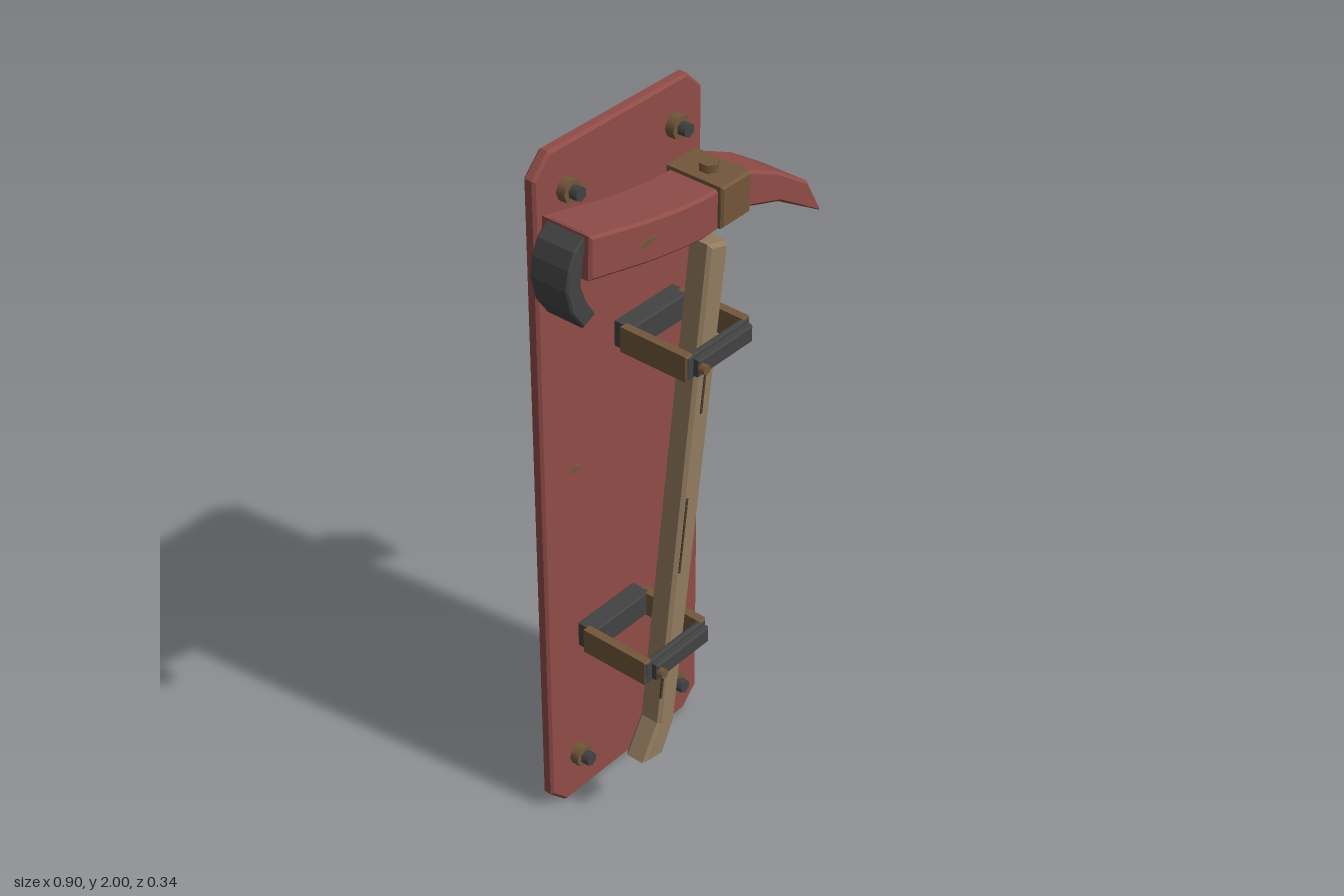
import * as THREE from 'three';

const mat = (name, color) => {
  const m = new THREE.MeshStandardMaterial({ color });
  m.name = name;
  return m;
};

export function createModel() {
  const red = mat('paintedRed', 0x8f4c47);
  const wood = mat('handleWood', 0x927b60);
  const bronze = mat('bronze', 0x73573a);
  const dark = mat('darkIron', 0x434343);
  const groove = mat('grooveBrown', 0x4a3a2a);

  const model = new THREE.Group();
  model.name = 'mountedPick';

  const add = (name, geometry, material, x = 0, y = 0, z = 0, parent = model) => {
    const mesh = new THREE.Mesh(geometry, material);
    mesh.name = name;
    mesh.position.set(x, y, z);
    parent.add(mesh);
    return mesh;
  };

  // Outline in the xy plane, extruded from z0 to z1 with a small inward chamfer
  const slab = (points, z0, z1, bevel) => {
    const shape = new THREE.Shape(points.map(([x, y]) => new THREE.Vector2(x, y)));
    return new THREE.ExtrudeGeometry(shape, {
      depth: z1 - z0 - 2 * bevel, bevelEnabled: true, bevelSegments: 1,
      bevelSize: bevel, bevelThickness: bevel, bevelOffset: -bevel,
    }).translate(0, 0, z0 + bevel);
  };
  const block = (x0, x1, y0, y1, z0, z1, bevel = 0.004) =>
    slab([[x0, y0], [x1, y0], [x1, y1], [x0, y1]], z0, z1, bevel);

  // Hexagonal or round stud along z
  const stud = (radius, length, sides) =>
    new THREE.CylinderGeometry(radius, radius, length, sides).rotateX(Math.PI / 2);

  // Backboard with cut corners
  const [l, r, c] = [-0.28, 0.32, 0.055];
  add('backboard', slab([
    [l + c, 0], [r - c, 0], [r, c], [r, 2 - c], [r - c, 2], [l + c, 2], [l, 2 - c], [l, c],
  ], -0.17, -0.135, 0.007), red);

  // Corner bolts
  for (const x of [-0.175, 0.212]) {
    for (const y of [0.14, 1.885]) {
      const bolt = new THREE.Group();
      bolt.name = 'cornerBolt';
      bolt.position.set(x, y, 0);
      add('boltWasher', stud(0.032, 0.026, 8), bronze, 0, 0, -0.122, bolt);
      add('boltNut', stud(0.019, 0.025, 6), dark, 0, 0, -0.0975, bolt);
      model.add(bolt);
    }
  }

  // Handle with a kicked foot
  add('handle', slab([
    [0.063, 1.71], [-0.12, 0.338], [-0.18, 0.238], [-0.106, 0.224], [-0.058, 0.318], [0.135, 1.69],
  ], 0.036, 0.104, 0.009), wood);
  for (const [x, y, len] of [[0.043, 1.31, 0.13], [-0.03, 0.905, 0.22], [-0.107, 0.49, 0.13]]) {
    const line = add('handleGroove', new THREE.BoxGeometry(0.007, len, 0.004), groove, x, y, 0.104);
    line.rotation.z = -0.134;
  }

  // Pick head, curved on the left and drooping to a point on the right
  add('pickHead', slab([
    [-0.395, 1.963], [-0.4, 1.85], [-0.2, 1.803], [-0.1, 1.785], [0, 1.772], [0.17, 1.782],
    [0.28, 1.745], [0.446, 1.645], [0.39, 1.752], [0.27, 1.832], [0.17, 1.88],
    [0, 1.886], [-0.1, 1.898], [-0.2, 1.916],
  ], -0.01, 0.14, 0.007), red);

  // Curved iron claw on the left end
  add('claw', slab([
    [-0.388, 1.962], [-0.428, 1.93], [-0.446, 1.89], [-0.456, 1.84], [-0.44, 1.775], [-0.402, 1.72],
    [-0.36, 1.74], [-0.388, 1.785], [-0.407, 1.835], [-0.4, 1.88],
  ], 0.007, 0.121, 0.005), dark);

  // Worn patch on the point
  const patch = add('tipPatch', new THREE.BoxGeometry(0.006, 0.045, 0.075), dark, 0.434, 1.672, 0.067);
  patch.rotation.z = Math.atan2(0.056, 0.107);

  // Band around the head, with its hex bolt
  add('headBand', block(0.044, 0.15, 1.783, 1.894, -0.02, 0.154, 0.006), bronze);
  add('bandBolt', new THREE.CylinderGeometry(0.025, 0.025, 0.03, 6), bronze, 0.093, 1.9, 0.073);

  // Two box brackets holding the handle
  for (const [x, y] of [[0.065, 1.43], [-0.088, 0.58]]) {
    const bracket = new THREE.Group();
    bracket.name = 'bracket';
    bracket.position.set(x, y, 0);
    add('bracketBack', block(-0.108, 0.108, -0.036, 0.036, -0.108, -0.05), dark, 0, 0, 0, bracket);
    for (const s of [-1, 1]) {
      add('bracketArm', block(-0.012, 0.012, -0.036, 0.036, -0.08, 0.132), bronze, s * 0.108, 0, 0, bracket);
    }
    add('bracketFront', block(-0.118, 0.118, -0.034, 0.034, 0.118, 0.134), dark, 0, 0, 0, bracket);
    add('bracketPlate', block(-0.097, 0.108, -0.024, 0.024, 0.13, 0.152), dark, 0, 0, 0, bracket);
    add('bracketBolt', stud(0.014, 0.018, 6), bronze, -0.086, 0, 0.159, bracket);
    model.add(bracket);
  }

  // Small paint chips on the board and the head
  const chip = (x, y, z, w, h) => add('paintChip', slab([
    [-w, -h * 0.4], [w * 0.3, -h], [w, h * 0.3], [-w * 0.2, h],
  ], 0, 0.004, 0.001), bronze, x, y, z);
  chip(-0.165, 1.53, -0.136, 0.013, 0.012);
  chip(0.228, 1.69, -0.136, 0.013, 0.01);
  chip(-0.165, 1.075, -0.136, 0.02, 0.011);
  chip(0.247, 0.415, -0.136, 0.016, 0.013);
  chip(-0.205, 1.862, 0.138, 0.035, 0.01);

  return model;
}
